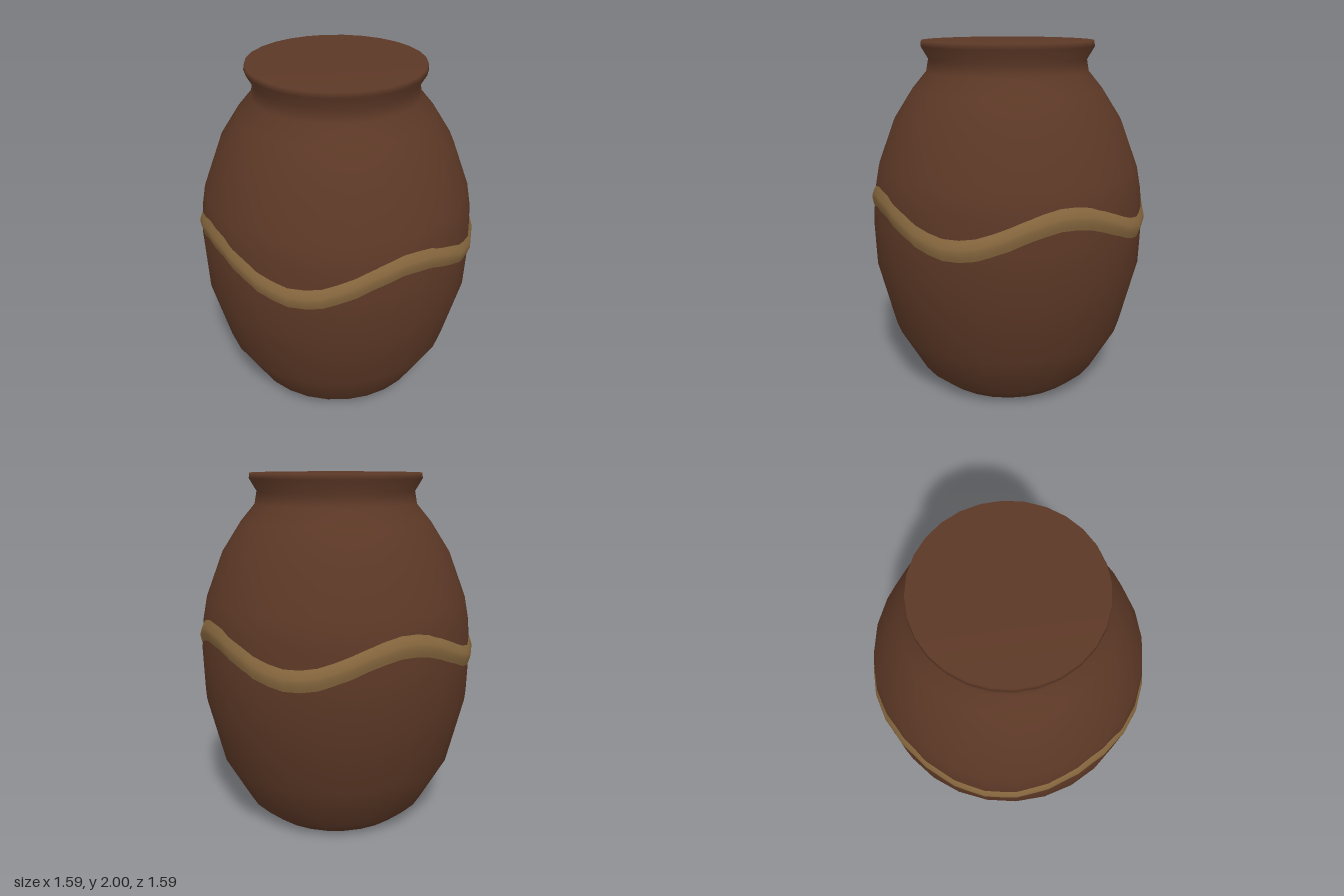
import * as THREE from 'three';

const SIDES = 28;

// Pot outline [radius, height], from the centre of the base to the centre of the lid
const PROFILE = [
  [0, 0], [0.435, 0], [0.54, 0.09], [0.685, 0.35], [0.78, 0.74], [0.788, 1.0],
  [0.773, 1.18], [0.748, 1.31], [0.65, 1.565], [0.54, 1.735], [0.46, 1.83],
  [0.447, 1.9], [0.488, 1.97], [0.484, 2.0], [0, 2.0],
];

// Radius of the pot wall at height y
function wallRadius(y) {
  for (let i = 2; i < PROFILE.length - 1; i++) {
    const [r0, y0] = PROFILE[i - 1], [r1, y1] = PROFILE[i];
    if (y <= y1) return THREE.MathUtils.lerp(r0, r1, (y - y0) / (y1 - y0));
  }
  return 0;
}

function lathe(points, sides) {
  return new THREE.LatheGeometry(points.map(([r, y]) => new THREE.Vector2(r, y)), sides);
}

// Raised glaze line that waves four times around the belly
function glazeGeometry() {
  const section = [[-0.004, -0.07], [0.006, -0.04], [0.014, -0.012], [0.014, 0.012], [0.006, 0.04], [-0.004, 0.07]];
  const geometry = lathe(section.map(([lift, dy]) => [0.78 + lift, dy]), SIDES * 2);
  const pos = geometry.attributes.position;
  for (let i = 0; i < pos.count; i++) {
    const column = Math.floor(i / section.length);
    const lift = section[i % section.length][0];
    const angle = column / (SIDES * 2) * Math.PI * 2;
    const y = 1.085 + 0.08 * Math.sin(4 * angle) + pos.getY(i);
    // odd columns lie halfway along the flat sides of the pot
    const flat = column % 2 ? Math.cos(Math.PI / SIDES) : 1;
    const r = wallRadius(y) * flat + lift;
    pos.setXYZ(i, r * Math.sin(angle), y, r * Math.cos(angle));
  }
  return geometry;
}

export function createModel() {
  const group = new THREE.Group();
  group.name = 'clayPot';

  // Closed pot with base, belly, neck, lip and flat top
  const body = new THREE.Mesh(lathe(PROFILE, SIDES), new THREE.MeshStandardMaterial({ color: 0x5c3826 }));
  body.name = 'potBody';

  const glaze = new THREE.Mesh(glazeGeometry(), new THREE.MeshStandardMaterial({ color: 0x8a6a40 }));
  glaze.name = 'glazeLine';

  group.add(body, glaze);
  return group;
}
